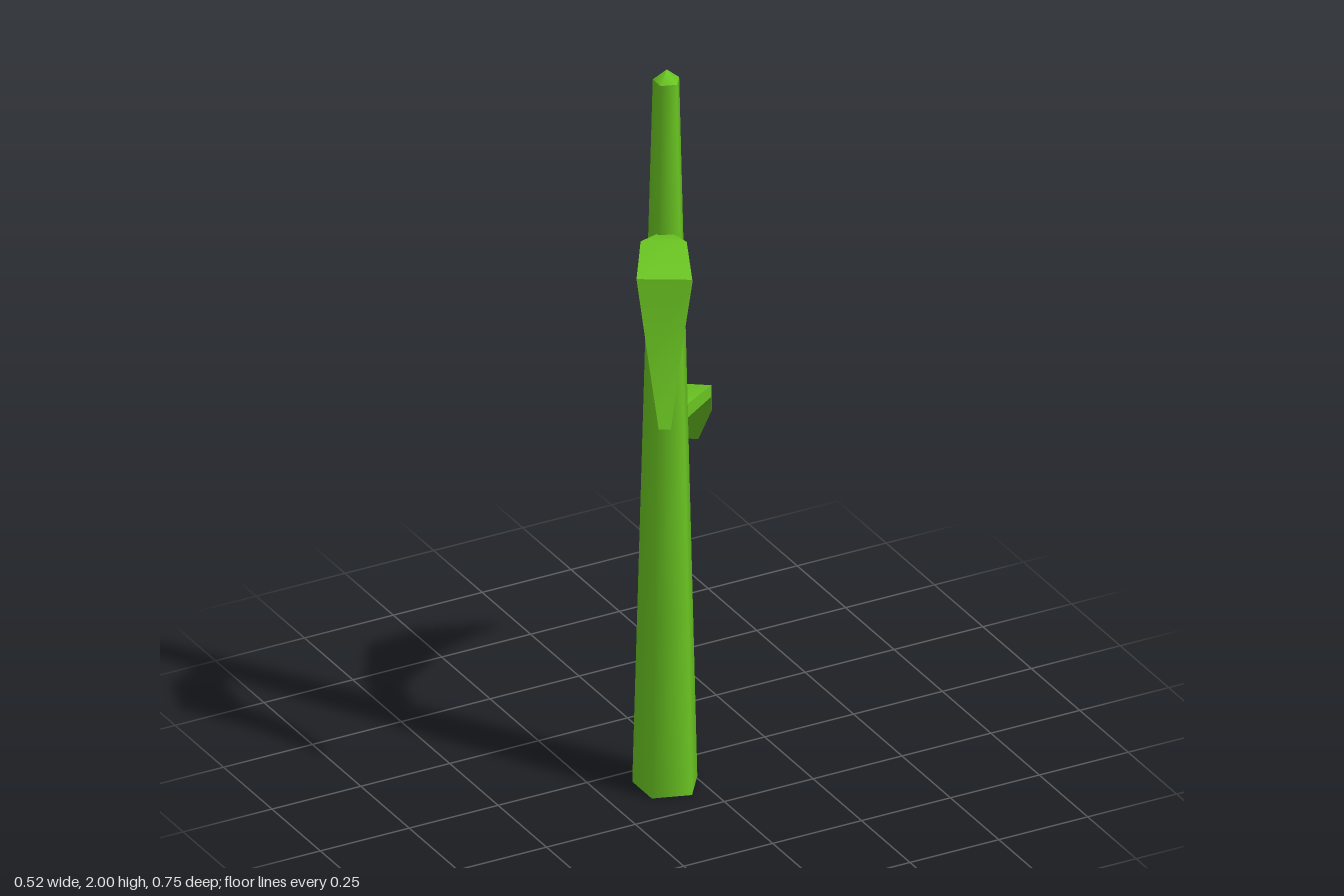
import * as THREE from 'three';
import { toCreasedNormals } from 'three/addons/utils/BufferGeometryUtils.js';

const STALK = { x: -0.08, z: 0.1, base: 0.086, top: 0.035, shoulder: 1.97, height: 2 };

// Lofts a four-cornered blade along a vertical bend.
// dir: horizontal heading [x, z]
// stations: [x, y, z, half width, inset along heading, drop], top centre first
function leafGeometry(dir, stations) {
  const d = new THREE.Vector2(...dir).normalize();
  const side = new THREE.Vector2(-d.y, d.x);
  const positions = [];
  const index = [];
  stations.forEach(([x, y, z, w, inset, drop]) => {
    const corner = (s, low) => positions.push(
      x + side.x * w * s - d.x * inset * low,
      y - drop * low,
      z + side.y * w * s - d.y * inset * low
    );
    corner(-1, 0);
    corner(1, 0);
    corner(1, 1);
    corner(-1, 1);
  });
  for (let i = 0; i < stations.length - 1; i++) {
    for (let k = 0; k < 4; k++) {
      const a = i * 4 + k, b = i * 4 + (k + 1) % 4;
      index.push(a, b, b + 4, a, b + 4, a + 4);
    }
  }
  // End caps
  const e = (stations.length - 1) * 4;
  index.push(0, 2, 1, 0, 3, 2, e, e + 1, e + 2, e, e + 2, e + 3);
  const geometry = new THREE.BufferGeometry();
  geometry.setAttribute('position', new THREE.Float32BufferAttribute(positions, 3));
  geometry.setIndex(index);
  return toCreasedNormals(geometry, 1.1);
}

export function createModel() {
  const group = new THREE.Group();
  const green = new THREE.MeshStandardMaterial({ color: 0x6ac522 });
  green.side = THREE.DoubleSide;

  const add = (name, geometry) => {
    const mesh = new THREE.Mesh(geometry, green);
    mesh.name = name;
    group.add(mesh);
    return mesh;
  };

  // Tapered five-sided stalk with a corner towards +x
  const stalk = add('stalk', new THREE.CylinderGeometry(STALK.top, STALK.base, STALK.shoulder, 5, 4));
  stalk.position.set(STALK.x, STALK.shoulder / 2, STALK.z);
  stalk.rotation.y = Math.PI / 2;

  // Low pointed cap
  const capHeight = STALK.height - STALK.shoulder;
  const cap = add('stalkTip', new THREE.ConeGeometry(STALK.top, capHeight, 5, 1, true));
  cap.position.set(STALK.x, STALK.shoulder + capHeight / 2, STALK.z);
  cap.rotation.y = Math.PI / 2;

  // Long lower leaf arching to the back left
  add('lowerLeaf', leafGeometry([0.583, -0.813], [
    [-0.058, 0.93, 0.055, 0.03, -0.01, 0.04],
    [-0.014, 0.985, -0.01, 0.033, 0, 0.04],
    [0.105, 0.945, -0.175, 0.08, 0.005, 0.03],
    [0.184, 0.83, -0.283, 0.063, 0.01, 0.025],
    [0.244, 0.67, -0.366, 0.017, 0.004, 0.003],
  ]));

  // Shorter upper leaf drooping steeply at the front right
  add('upperLeaf', leafGeometry([-0.5, 0.866], [
    [-0.098, 1.555, 0.125, 0.022, 0, 0.035],
    [-0.147, 1.585, 0.207, 0.057, 0, 0.03],
    [-0.2, 1.54, 0.308, 0.069, 0.025, 0.018],
    [-0.207, 1.325, 0.32, 0.04, 0.02, 0.003],
    [-0.231, 1.155, 0.367, 0.015, 0.004, 0],
  ]));

  return group;
}
